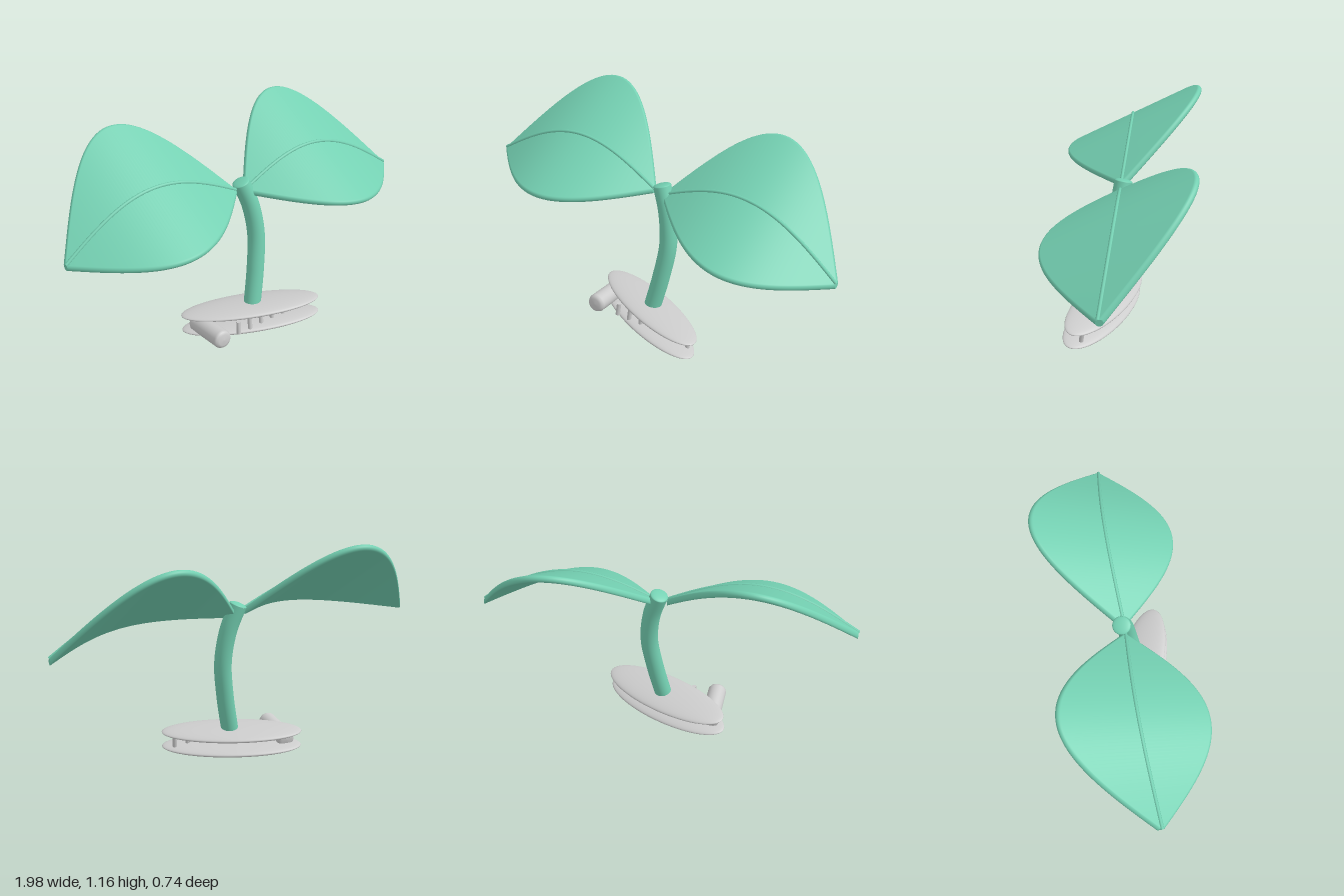
import * as THREE from 'three';

const GREEN = new THREE.MeshStandardMaterial({ color: 0x74d0b2 });
const GREY = new THREE.MeshStandardMaterial({ color: 0xcccccc });

function add(parent, name, geometry, material) {
  const mesh = new THREE.Mesh(geometry, material);
  mesh.name = name;
  parent.add(mesh);
  return mesh;
}

// Directions across the leaf blade and out of its upper face
const ACROSS = new THREE.Vector3(0, 0.464, -0.886);
const NORMAL = new THREE.Vector3(0, 0.886, 0.464);

// Arched centre line of a leaf; the whole sprout leans back as it rises
function leafSpine(t, side, baseY, tipY) {
  const y = baseY + (tipY - baseY) * t + 0.185 * Math.sin(Math.PI * t);
  return new THREE.Vector3(side * (0.03 + 0.955 * t), y, 0.05 - 0.15 * (y - 0.64));
}

// Thick leaf blade: rounded-edge sections swept along the arch
function leafGeometry(spine) {
  const rows = 64, arc = 8, ring = 2 * (arc + 1);
  const pos = [], index = [];
  for (let i = 0; i <= rows; i++) {
    const t = i / rows, c = spine(t);
    const w = 0.018 + 0.39 * Math.sin(Math.PI * t), r = 0.017;
    for (let j = 0; j < ring; j++) {
      const s = j <= arc ? 1 : -1;
      const a = -Math.PI / 2 + Math.PI * (j <= arc ? j / arc : 1 + (j - arc - 1) / arc);
      const p = c.clone()
        .addScaledVector(ACROSS, s * (w - r) + r * Math.cos(a))
        .addScaledVector(NORMAL, r * Math.sin(a));
      pos.push(p.x, p.y, p.z);
    }
  }
  const flip = spine(1).x < 0;
  const tri = (a, b, c) => (flip ? index.push(a, c, b) : index.push(a, b, c));
  for (let i = 0; i < rows; i++) {
    for (let j = 0; j < ring; j++) {
      const a = i * ring + j, b = i * ring + (j + 1) % ring;
      tri(a, a + ring, b);
      tri(b, a + ring, b + ring);
    }
  }
  // Blunt ends, with their own corners so the edge stays sharp
  for (const end of [0, rows]) {
    const first = pos.length / 3;
    for (let j = 0; j < ring * 3; j++) pos.push(pos[end * ring * 3 + j]);
    for (let j = 1; j < ring - 1; j++) {
      if (end) tri(first, first + j + 1, first + j);
      else tri(first, first + j, first + j + 1);
    }
  }
  const g = new THREE.BufferGeometry();
  g.setAttribute('position', new THREE.Float32BufferAttribute(pos, 3));
  // Keep faces outward whichever way the section runs
  const p = index.slice(0, 3).map(k => new THREE.Vector3().fromArray(pos, k * 3));
  const n = p[1].clone().sub(p[0]).cross(p[2].clone().sub(p[0]));
  if (n.dot(p[0].clone().sub(spine(0))) < 0) {
    for (let k = 0; k < index.length; k += 3) [index[k + 1], index[k + 2]] = [index[k + 2], index[k + 1]];
  }
  g.setIndex(index);
  g.computeVertexNormals();
  return g;
}

function makeLeaf(name, side, baseY, tipY) {
  const leaf = new THREE.Group();
  leaf.name = name;
  const spine = t => leafSpine(t, side, baseY, tipY);
  add(leaf, 'leafBlade', leafGeometry(spine), GREEN);
  const points = [];
  for (let i = 0; i <= 16; i++) points.push(spine(i / 16).addScaledVector(NORMAL, 0.017));
  add(leaf, 'midrib', new THREE.TubeGeometry(new THREE.CatmullRomCurve3(points), 64, 0.009, 8), GREEN);
  return leaf;
}

function makeStem() {
  const stem = new THREE.Group();
  stem.name = 'stem';
  const path = new THREE.CatmullRomCurve3([
    [0.012, 0.12, 0.122], [0.055, 0.34, 0.092], [0.077, 0.53, 0.065],
    [0.057, 0.7, 0.042], [0.012, 0.835, 0.02],
  ].map(p => new THREE.Vector3(...p)));
  add(stem, 'stalk', new THREE.TubeGeometry(path, 48, 0.046, 32), GREEN);
  // Slightly domed top
  const cap = add(stem, 'stalkTop',
    new THREE.SphereGeometry(0.046, 32, 8, 0, Math.PI * 2, 0, Math.PI / 2), GREEN);
  cap.scale.y = 0.25;
  cap.position.copy(path.getPoint(1));
  cap.quaternion.setFromUnitVectors(new THREE.Vector3(0, 1, 0), path.getTangent(1));
  return stem;
}

function makeClip() {
  const clip = new THREE.Group();
  clip.name = 'clip';
  clip.position.set(0, 0.08, 0.128);
  clip.rotation.set(-0.149, 0, -0.06);

  // Two lens-shaped plates, turned at an angle to the leaves
  for (const [name, y] of [['lowerPlate', -0.043], ['upperPlate', 0.043]]) {
    const plate = add(clip, name, new THREE.SphereGeometry(1, 64, 32), GREY);
    plate.scale.set(0.378, 0.028, 0.129);
    plate.rotation.y = -Math.PI / 8;
    plate.position.y = y;
  }

  // Row of teeth between the plates
  for (let i = 0; i < 7; i++) {
    const tooth = add(clip, 'tooth', new THREE.CylinderGeometry(0.012, 0.012, 0.07, 16), GREY);
    tooth.position.set(-0.145 + i * 0.0735, 0, 0.087);
  }

  // Hinge barrel with rounded ends
  const profile = [[0, -0.132], [0.03, -0.13], [0.044, -0.124], [0.05, -0.112],
    [0.05, 0.112], [0.044, 0.124], [0.03, 0.13], [0, 0.132]];
  const hinge = add(clip, 'hinge',
    new THREE.LatheGeometry(profile.map(p => new THREE.Vector2(...p)), 32), GREY);
  hinge.rotation.x = Math.PI / 2;
  hinge.position.set(-0.27, -0.008, 0);
  return clip;
}

export function createModel() {
  const model = new THREE.Group();
  model.name = 'sproutHairClip';
  model.add(makeLeaf('leftLeaf', 1, 0.785, 0.635));
  model.add(makeLeaf('rightLeaf', -1, 0.8, 0.75));
  model.add(makeStem());
  model.add(makeClip());
  return model;
}
